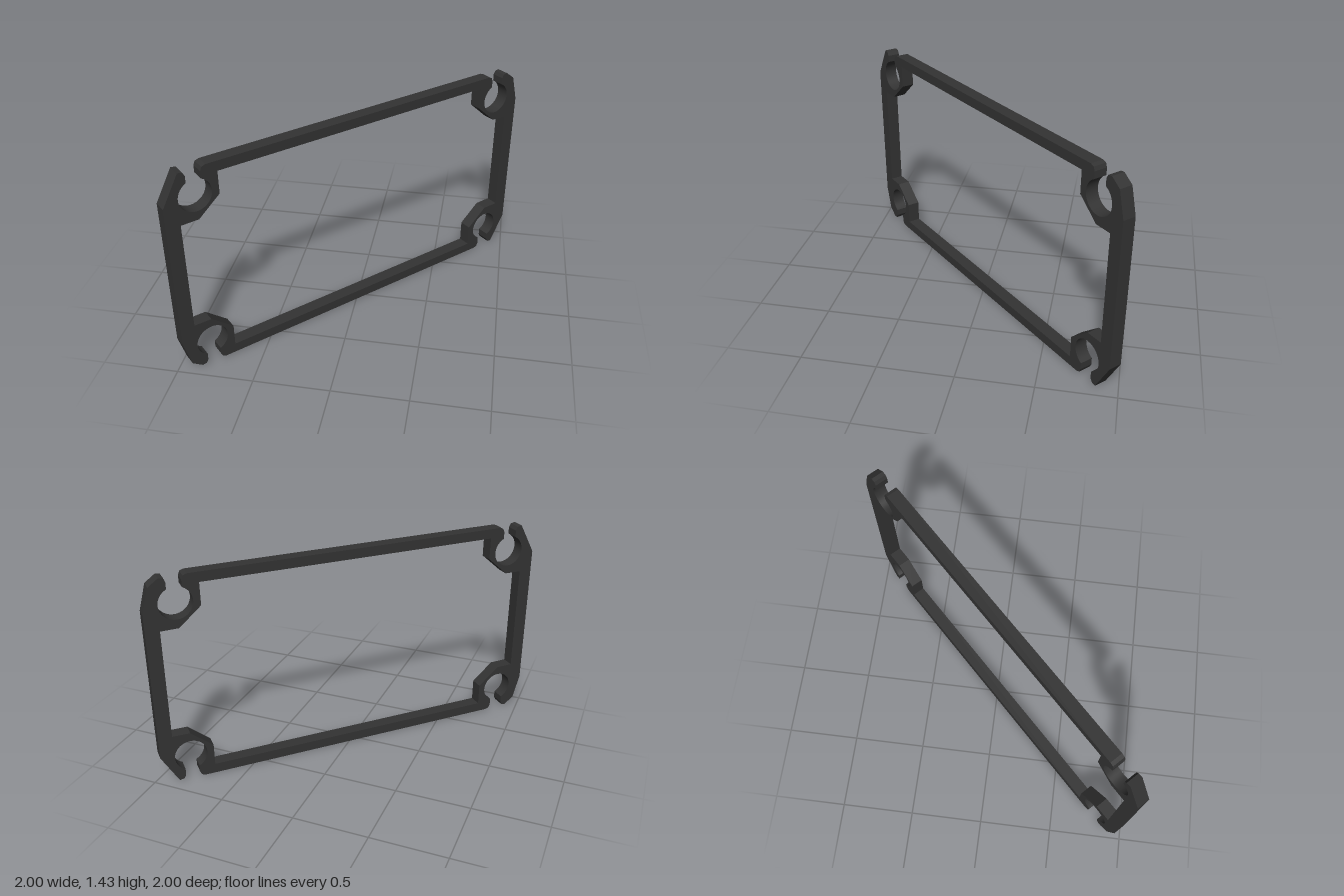
import * as THREE from 'three';
import { toCreasedNormals } from 'three/addons/utils/BufferGeometryUtils.js';

const HEIGHT = 1.435, DEPTH = 0.088;

// Every corner is described once, from the horizontal bar round to the upright:
// x from the middle of the frame, y inward from the nearest horizontal edge.
function outerCorner(stepped) {
  const cx = 1.167, cy = 0.178, r = 0.107, gap = 0.047;
  const pts = [[cx - gap - 0.035, 0], [cx - gap - 0.01, 0.01], [cx - gap, 0.035]];
  // round socket, open through the slot
  const half = Math.asin(gap / r), n = 32;
  for (let i = 0; i <= n; i++) {
    const a = -Math.PI / 2 - half - (i / n) * (2 * Math.PI - 2 * half);
    pts.push([cx + r * Math.cos(a), cy + r * Math.sin(a)]);
  }
  // hooked tip and outer bevel
  pts.push([cx + gap, 0.035], [cx + gap + 0.013, 0.01]);
  if (stepped) pts.push([1.255, 0.006], [1.322, 0.055], [1.368, 0.225]);
  else pts.push([1.258, 0.004], [1.368, 0.205]);
  return pts;
}

// bevelled block between the bars
const innerCorner = () => [[1.015, 0.066], [1.015, 0.217], [1.16, 0.343], [1.277, 0.345]];

// Places the four corners counter-clockwise from bottom right
function loopAround(corner) {
  const places = [[1, false, false], [1, true, true], [-1, true, false], [-1, false, true]];
  return places.flatMap(([side, top, stepped]) => {
    const pts = corner(stepped).map(([x, y]) => new THREE.Vector2(side * x, top ? HEIGHT - y : y));
    return stepped ? pts.reverse() : pts;
  });
}

export function createModel() {
  const group = new THREE.Group();
  group.name = 'clipFrame';

  const shape = new THREE.Shape(loopAround(outerCorner));
  shape.holes.push(new THREE.Path(loopAround(innerCorner)));
  const geometry = new THREE.ExtrudeGeometry(shape, { depth: DEPTH, bevelEnabled: false });
  geometry.translate(0, 0, -DEPTH / 2);

  const frame = new THREE.Mesh(
    toCreasedNormals(geometry, 0.25),
    new THREE.MeshStandardMaterial({ color: 0x333333 })
  );
  frame.name = 'frame';
  // the plate stands diagonally
  frame.rotation.y = Math.PI / 4;
  group.add(frame);
  return group;
}
